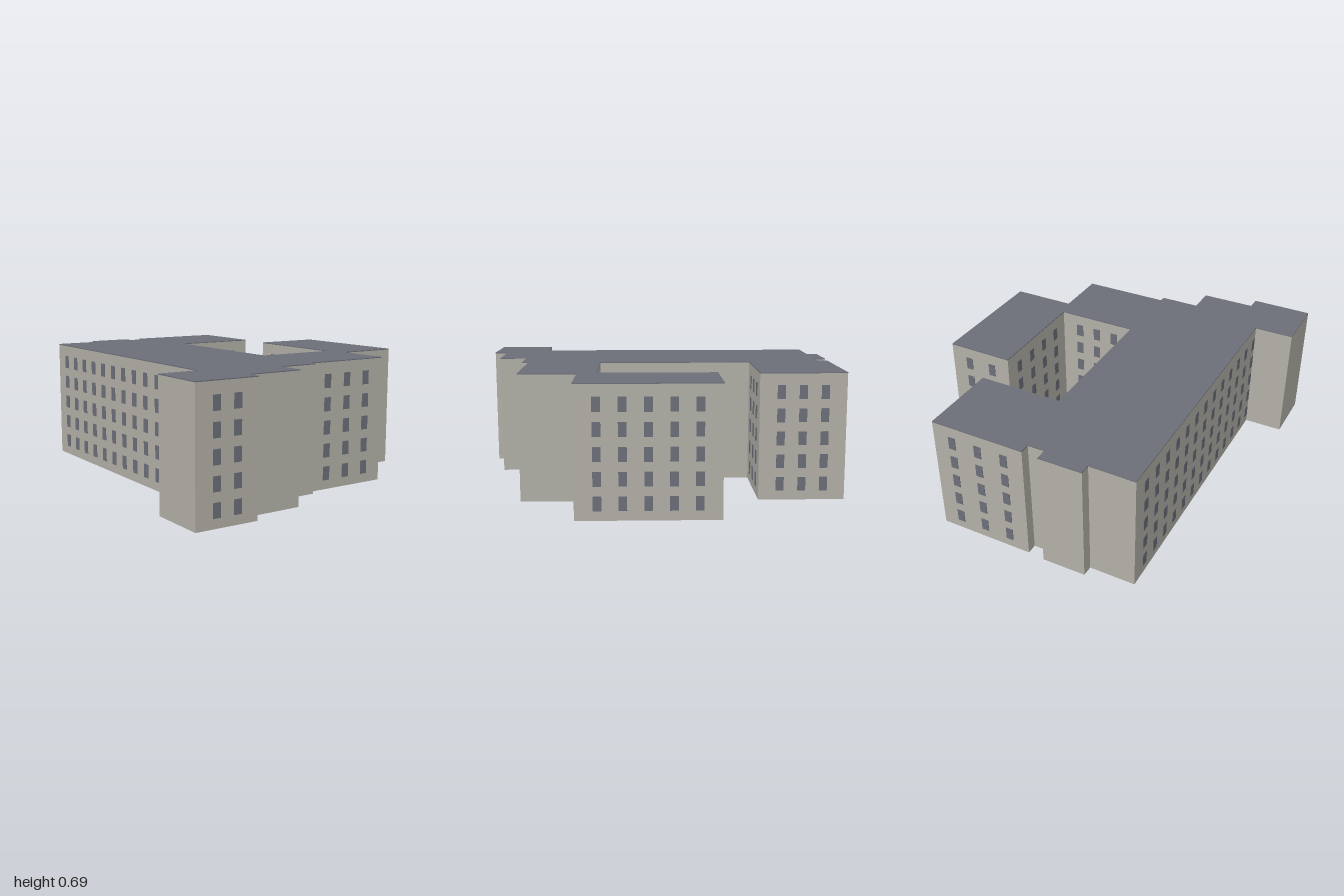
import * as THREE from 'three';

const HEIGHT = 0.695, ROOF = 0.005;

// Ground plan corners [x, z], clockwise seen from above, starting at the back left
const PLAN = [
  [-0.465, -0.977], [-0.205, -0.94], [-0.195, -1.0], [0.053, -0.967], [0.043, -0.9],
  [0.14, -0.887], [0.148, -0.945], [0.693, -0.868], [0.627, -0.405], [0.14, -0.474],
  [0.02, 0.384], [0.487, 0.45], [0.577, -0.188], [0.963, -0.132], [0.857, 0.607],
  [0.497, 0.556], [0.452, 0.866], [-0.045, 0.797], [-0.053, 0.834], [-0.278, 0.802],
  [-0.3, 0.958], [-0.608, 0.916], [-0.62, 0.993], [-0.965, 0.942], [-0.92, 0.622],
  [-0.695, 0.654],
];

// Walls with windows: starting corner, columns, margins before the first and after the last column
const M = 0.116;
const FACADES = [
  { name: 'backWing', corner: 6, columns: 3 },
  { name: 'backWingSide', corner: 7, columns: 3 },
  { name: 'courtyardBack', corner: 8, columns: 3 },
  { name: 'courtyardLong', corner: 9, columns: 5, start: 0.263 },
  { name: 'courtyardFront', corner: 10, columns: 3 },
  { name: 'courtyardSide', corner: 11, columns: 4 },
  { name: 'sideWingBack', corner: 12, columns: 2 },
  { name: 'sideWing', corner: 13, columns: 5 },
  { name: 'sideWingFront', corner: 14, columns: 2 },
  { name: 'front', corner: 16, columns: 3 },
  { name: 'frontCornerWing', corner: 22, columns: 2 },
  { name: 'longSide', corner: 25, columns: 13, start: 0.031 },
];
const FLOORS = [0.088, 0.2135, 0.339, 0.4645, 0.59];

// Upright prism over the ground plan
function prism(bottom, top) {
  const shape = new THREE.Shape(PLAN.map(([x, z]) => new THREE.Vector2(x, z)));
  const geometry = new THREE.ExtrudeGeometry(shape, { depth: top - bottom, bevelEnabled: false });
  return geometry.rotateX(Math.PI / 2).translate(0, top, 0);
}

export function createModel() {
  const wallMaterial = new THREE.MeshStandardMaterial({ color: 0xb2b0a7 });
  wallMaterial.name = 'wall grey';
  const slateMaterial = new THREE.MeshStandardMaterial({ color: 0x6c6f79 });
  slateMaterial.name = 'slate';

  const model = new THREE.Group();
  model.name = 'building';
  const add = (parent, name, geometry, material) => {
    const mesh = new THREE.Mesh(geometry, material);
    mesh.name = name;
    parent.add(mesh);
    return mesh;
  };

  add(model, 'walls', prism(0, HEIGHT - ROOF), wallMaterial);
  add(model, 'roof', prism(HEIGHT - ROOF, HEIGHT), slateMaterial);

  // Window grids, one group per facade, facing out of the wall
  const pane = new THREE.BoxGeometry(0.043, 0.075, 0.006);
  for (const { name, corner, columns, start = M, end = M } of FACADES) {
    const [ax, az] = PLAN[corner];
    const [bx, bz] = PLAN[(corner + 1) % PLAN.length];
    const length = Math.hypot(bx - ax, bz - az);
    const facade = new THREE.Group();
    facade.name = name + 'Windows';
    facade.position.set(ax, 0, az);
    facade.rotation.y = Math.atan2(bz - az, ax - bx);
    for (let c = 0; c < columns; c++) {
      const along = start + ((length - start - end) * c) / (columns - 1);
      for (const y of FLOORS) {
        add(facade, 'window', pane, slateMaterial).position.set(-along, y, 0);
      }
    }
    model.add(facade);
  }
  return model;
}
